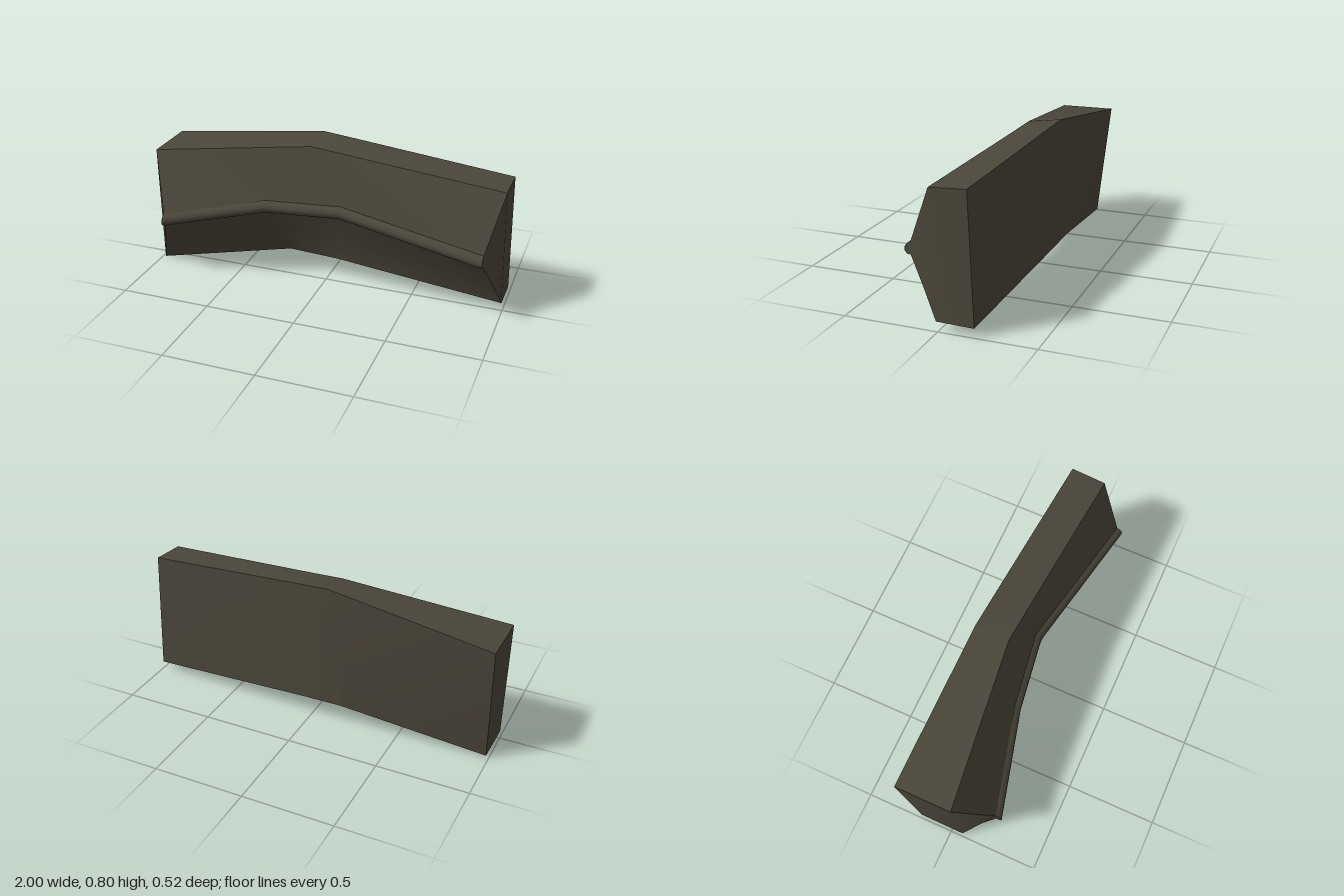
import * as THREE from 'three';

// Each row runs lengthwise through four stations, from right end (-x) to left end (+x).
const backTop = [[-1, 0.672, -0.26], [-0.1, 0.8, -0.23], [0.1, 0.785, -0.216], [0.985, 0.715, -0.153]];
const frontTop = [[-1, 0.67, 0.048], [-0.1, 0.775, -0.045], [0.1, 0.761, -0.03], [0.98, 0.703, 0.041]];
const ridge = [[-0.88, 0.333, 0.232], [-0.32, 0.443, 0.09], [0.09, 0.443, 0.029], [0.91, 0.365, 0.178]];
const frontMiddle = [[-0.932, 0.155, 0.132], [-0.29, 0.265, -0.008], [0.07, 0.265, -0.028], [0.953, 0.195, 0.09]];
const frontBottom = [[-0.985, 0.002, 0.062], [-0.24, 0.12, -0.07], [0.05, 0.117, -0.05], [0.995, 0.052, 0.01]];
const backBottom = [[-0.985, 0.012, -0.19], [-0.18, 0.12, -0.245], [0.05, 0.118, -0.245], [0.995, 0.048, -0.185]];

// Rounded bead along the ridge: [y, z] offsets from the ridge line
const bead = [[0.035, -0.004], [0.024, 0.016], [0.006, 0.028], [-0.014, 0.028], [-0.03, 0.014], [-0.032, -0.004]]
  .map(([dy, dz]) => ridge.map(([x, y, z]) => [x, y + dy, z + dz]));

function buildGeometry(points, index) {
  const geometry = new THREE.BufferGeometry();
  geometry.setAttribute('position', new THREE.Float32BufferAttribute(points.flat(), 3));
  geometry.setIndex(index);
  geometry.computeVertexNormals();
  return geometry;
}

// Skin neighbouring rows; smooth inside a panel, sharp where panels meet.
// flip picks the other diagonal of each four-sided face.
function panel(rows, flip = false) {
  const index = [];
  const n = rows[0].length;
  for (let j = 0; j < rows.length - 1; j++) {
    for (let i = 0; i < n - 1; i++) {
      const a = j * n + i, b = a + n, c = b + 1, d = a + 1;
      if (flip) index.push(a, b, d, b, c, d);
      else index.push(a, b, c, a, c, d);
    }
  }
  return buildGeometry(rows.flat(), index);
}

// Close one end: a fan behind the bead, folded to a four-sided face at the back
function endCap(station) {
  const loop = [...bead, frontMiddle, frontBottom, frontTop, backBottom, backTop].map(row => row[station]);
  const index = [];
  for (let i = 1; i < 8; i++) index.push(0, i, i + 1);
  index.push(7, 9, 8, 9, 10, 8);
  if (station === 0) index.reverse();
  return buildGeometry(loop, index);
}

export function createModel() {
  const group = new THREE.Group();
  group.name = 'bentBlock';
  const material = new THREE.MeshStandardMaterial({ color: 0x4b463a });
  material.name = 'darkOliveBrown';

  const back = [backBottom, backTop];
  const parts = {
    topFace: panel([backTop, frontTop]),
    upperFrontFace: panel([frontTop, bead[0]]),
    ridgeBead: panel(bead),
    lowerFrontFace: panel([bead[5], frontMiddle, frontBottom]),
    bottomFace: panel([frontBottom, backBottom]),
    rightBackFace: panel(back.map(row => row.slice(0, 2)), true),
    leftBackFace: panel(back.map(row => row.slice(1)), true),
    rightEnd: endCap(0),
    leftEnd: endCap(3),
  };
  for (const [name, geometry] of Object.entries(parts)) {
    const mesh = new THREE.Mesh(geometry, material);
    mesh.name = name;
    group.add(mesh);
  }
  return group;
}
